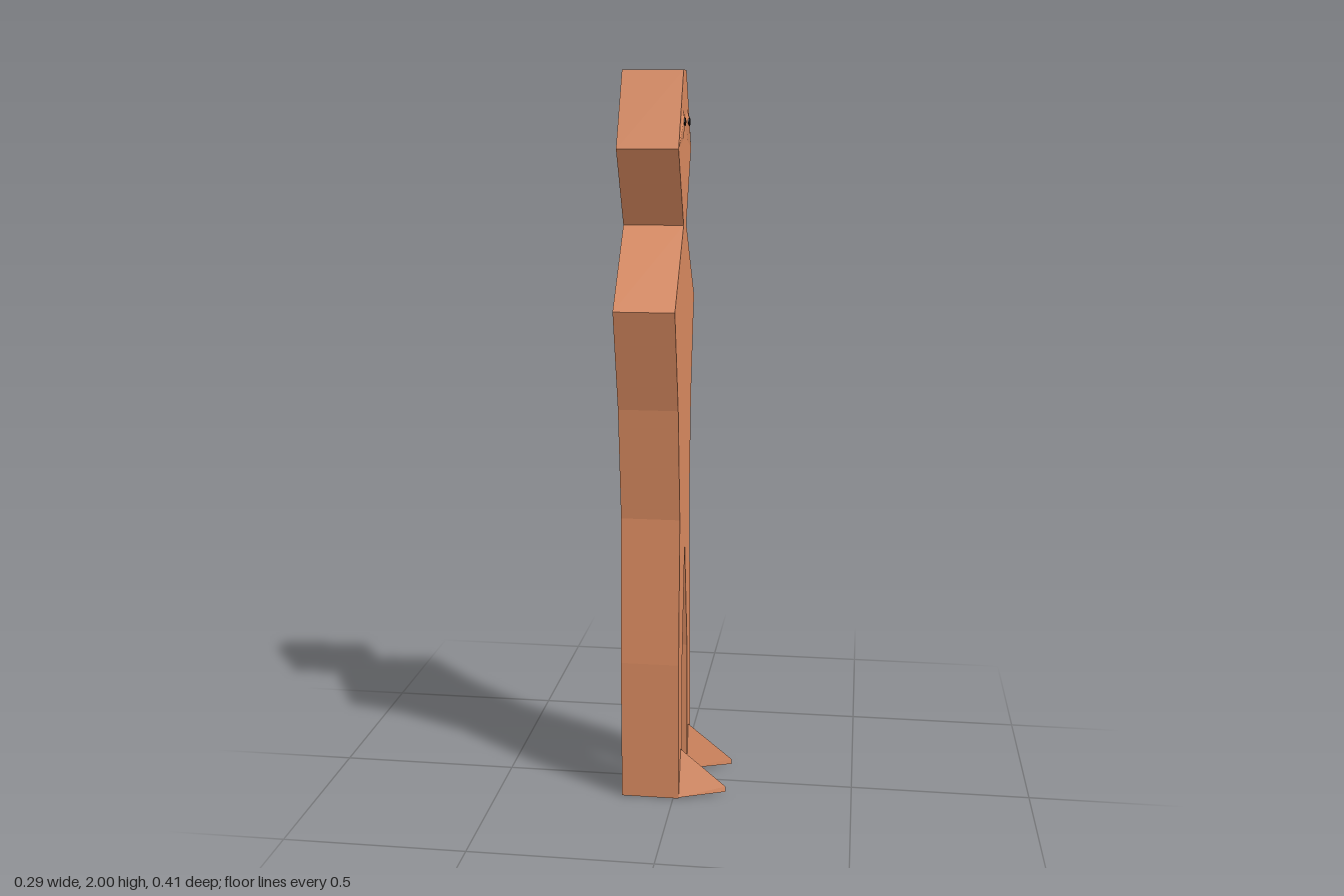
import * as THREE from 'three';
import { ConvexGeometry } from 'three/addons/geometries/ConvexGeometry.js';

const BACK = -0.146, FACE = 0.016;

export function createModel() {
  const group = new THREE.Group();
  const skin = new THREE.MeshStandardMaterial({ color: 0xd98a60, flatShading: true });
  const dark = new THREE.MeshStandardMaterial({ color: 0x1c1210, flatShading: true });

  const add = (name, geometry, material) => {
    const mesh = new THREE.Mesh(geometry, material);
    mesh.name = name;
    group.add(mesh);
    return mesh;
  };
  const hull = (points) => new ConvexGeometry(points.map((p) => new THREE.Vector3(...p)));

  // Flat figure: half outline [half width, height], mirrored and extruded from back to face
  const half = [
    [0.03, 2], [0.132, 1.8], [0.028, 1.6], [0.207, 1.39], [0.14, 1.12],
    [0.106, 0.81], [0.133, 0.4], [0.133, 0], [0.055, 0], [0.055, 0.39],
  ];
  const outline = [...half, [0, 0.71], ...half.slice().reverse().map(([w, y]) => [-w, y])];
  const shape = new THREE.Shape(outline.map(([w, y]) => new THREE.Vector2(w, y)));
  const body = new THREE.ExtrudeGeometry(shape, { depth: FACE - BACK, bevelEnabled: false });
  body.rotateY(Math.PI / 2).translate(BACK, 0, 0);
  add('body', body, skin);

  for (const side of [1, -1]) {
    const label = side > 0 ? 'left' : 'right';

    // Pointed foot: triangular at the ankle, narrowing to a tiny blunt toe
    add(label + 'Foot', hull([
      [FACE, 0.003, side * 0.133], [FACE, 0.003, side * 0.055], [FACE, 0.13, side * 0.087],
      [0.145, 0.01, side * 0.094], [0.145, 0.01, side * 0.087], [0.145, 0.024, side * 0.09],
    ]), skin);

    // Very low brow mound under each eye
    add(label + 'EyeMound', hull([
      [FACE, 1.87, 0], [FACE, 1.9, side * 0.045], [FACE, 1.8, side * 0.13], [FACE, 1.82, side * 0.045],
      [0.021, 1.878, side * 0.038], [0.021, 1.878, side * 0.055],
      [0.021, 1.86, side * 0.038], [0.021, 1.86, side * 0.055],
    ]), skin);

    // Small faceted oval eye
    const eye = add(label + 'Eye', new THREE.CylinderGeometry(0.016, 0.02, 0.01, 8).rotateZ(-Math.PI / 2), dark);
    eye.scale.y = 0.65;
    eye.position.set(0.018, 1.868, side * 0.046);
  }
  return group;
}
